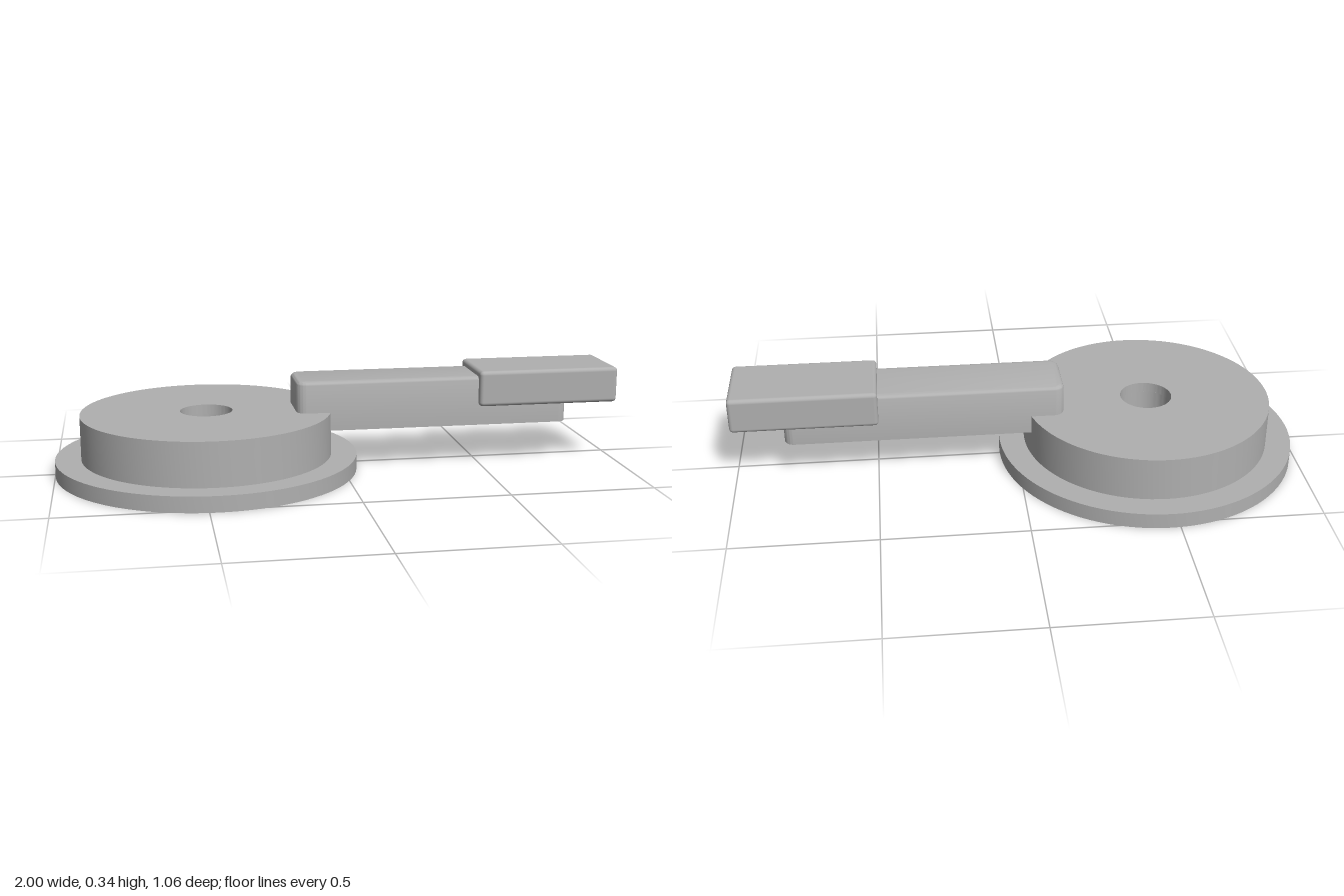
import * as THREE from 'three';
import { toCreasedNormals } from 'three/addons/utils/BufferGeometryUtils.js';
import { RoundedBoxGeometry } from 'three/addons/geometries/RoundedBoxGeometry.js';

const HUB_X = -0.47;
const HOLE_R = 0.092;

// Rounded rectangle in the ground plane, centred on z = 0
function plan(x0, x1, halfWidth, r) {
  const s = new THREE.Shape();
  s.moveTo(x0 + r, -halfWidth);
  s.lineTo(x1 - r, -halfWidth);
  s.absarc(x1 - r, -halfWidth + r, r, -Math.PI / 2, 0);
  s.lineTo(x1, halfWidth - r);
  s.absarc(x1 - r, halfWidth - r, r, 0, Math.PI / 2);
  s.lineTo(x0 + r, halfWidth);
  s.absarc(x0 + r, halfWidth - r, r, Math.PI / 2, Math.PI);
  s.lineTo(x0, -halfWidth + r);
  s.absarc(x0 + r, -halfWidth + r, r, Math.PI, Math.PI * 1.5);
  return s;
}

// Bar with softened top edges and a crisp flat underside
function barGeometry(x0, x1, y0, y1, halfWidth, r, bevel) {
  const geo = new THREE.ExtrudeGeometry(plan(x0, x1, halfWidth, r), {
    depth: y1 - y0 - bevel, curveSegments: 8,
    bevelEnabled: true, bevelSize: bevel, bevelThickness: bevel,
    bevelOffset: -bevel, bevelSegments: 5,
  });
  geo.rotateX(-Math.PI / 2).translate(0, y0, 0);
  const p = geo.attributes.position;
  for (let i = 0; i < p.count; i++) p.setY(i, Math.max(p.getY(i), y0));
  geo.computeVertexNormals();
  return toCreasedNormals(geo, 0.6);
}

export function createModel() {
  const group = new THREE.Group();
  const grey = new THREE.MeshStandardMaterial({ color: 0xb0b0b0 });
  grey.name = 'grey';

  const add = (name, geometry) => {
    const mesh = new THREE.Mesh(geometry, grey);
    mesh.name = name;
    group.add(mesh);
    return mesh;
  };

  // Hollow flanged drum, open underneath, with a central hole
  const profile = [
    [0.374, 0], [0.53, 0], [0.53, 0.055], [0.44, 0.055], [0.44, 0.21],
    [HOLE_R, 0.21], [HOLE_R, 0.175], [0.374, 0.175], [0.374, 0],
  ].map(([r, y]) => new THREE.Vector2(r, y));
  add('drum', toCreasedNormals(new THREE.LatheGeometry(profile, 96), 0.6))
    .position.x = HUB_X;

  // Round-ended lug around the hole, under the drum top
  const lugR = 0.12;
  const lug = new THREE.Shape();
  lug.moveTo(-0.09, -lugR);
  lug.lineTo(-0.09, lugR);
  lug.lineTo(HUB_X, lugR);
  lug.absarc(HUB_X, 0, lugR, Math.PI / 2, Math.PI * 1.5);
  lug.holes.push(new THREE.Path().absarc(HUB_X, 0, HOLE_R, 0, Math.PI * 2, true));
  const lugGeo = new THREE.ExtrudeGeometry(lug, {
    depth: 0.075, bevelEnabled: false, curveSegments: 32,
  });
  lugGeo.rotateX(-Math.PI / 2).translate(0, 0.1, 0);
  add('hubLug', toCreasedNormals(lugGeo, 0.6));

  // Lever arm
  add('arm', barGeometry(-0.16, 0.82, 0.145, 0.32, 0.109, 0.035, 0.018));

  // Grip over the outer end of the arm
  add('grip', new RoundedBoxGeometry(0.51, 0.127, 0.262, 4, 0.014))
    .position.set(0.745, 0.278, 0);

  // Small round pips under the arm
  for (const x of [0.6, 0.71]) {
    add('pip', new THREE.CylinderGeometry(0.027, 0.027, 0.01, 24))
      .position.set(x, 0.147, 0);
  }

  return group;
}
